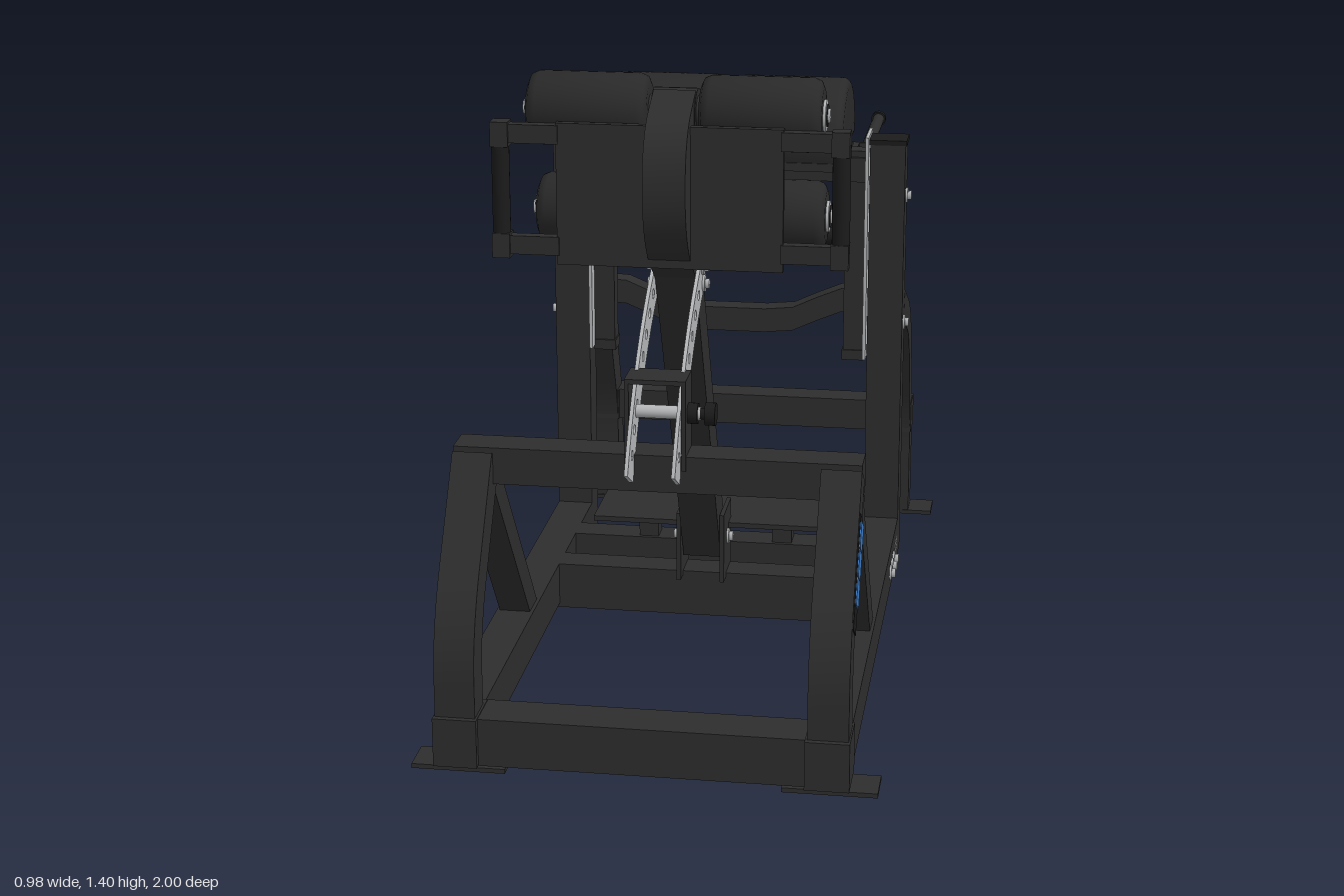
import * as THREE from 'three';
import { toCreasedNormals } from 'three/addons/utils/BufferGeometryUtils.js';

const mat = (name, color) => {
  const m = new THREE.MeshStandardMaterial({ color });
  m.name = name;
  return m;
};

export function createModel() {
  const root = new THREE.Group();
  root.name = 'hyperextensionBench';
  const frame = mat('frameBlack', 0x2d2d2d);
  const pad = mat('padBlack', 0x292929);
  const dark = mat('gripBlack', 0x1b1b1b);
  const steel = mat('plateSteel', 0xb4b6b8);
  const blue = mat('decalBlue', 0x3a78c2);

  const add = (name, geo, material, x = 0, y = 0, z = 0) => {
    const m = new THREE.Mesh(geo, material);
    m.name = name;
    m.position.set(x, y, z);
    root.add(m);
    return m;
  };
  // box given by its limits on each axis
  const box = (name, [x0, x1], [y0, y1], [z0, z1], material = frame) =>
    add(name, new THREE.BoxGeometry(Math.abs(x1 - x0), y1 - y0, Math.abs(z1 - z0)), material,
      (x0 + x1) / 2, (y0 + y1) / 2, (z0 + z1) / 2);
  // cylinder lying along x
  const rod = (name, x0, x1, y, z, r, material = frame, sides = 24) =>
    add(name, new THREE.CylinderGeometry(r, r, Math.abs(x1 - x0), sides).rotateZ(Math.PI / 2),
      material, (x0 + x1) / 2, y, z);
  // outline in (z, y) extruded along x
  const slab = (name, shape, x, width, material = frame, bevel = 0) => {
    let g = new THREE.ExtrudeGeometry(shape, {
      depth: width - 2 * bevel, curveSegments: 32, bevelEnabled: bevel > 0,
      bevelSize: bevel, bevelThickness: bevel, bevelSegments: 5,
    });
    g.translate(0, 0, bevel - width / 2).rotateY(-Math.PI / 2);
    return add(name, toCreasedNormals(g, 0.6), material, x);
  };
  // square tube following a rounded path in (z, y)
  const tube = (name, pts, thick, x, width, material = frame, round = 0.07) => {
    const v = pts.map((p) => new THREE.Vector2(...p));
    const path = new THREE.Path().moveTo(v[0].x, v[0].y);
    for (let i = 1; i < v.length - 1; i++) {
      const toward = (q) => v[i].clone().add(q.clone().sub(v[i]).setLength(Math.min(round, q.distanceTo(v[i]) * 0.48)));
      const a = toward(v[i - 1]), b = toward(v[i + 1]);
      path.lineTo(a.x, a.y).quadraticCurveTo(v[i].x, v[i].y, b.x, b.y);
    }
    path.lineTo(v.at(-1).x, v.at(-1).y);
    const c = path.getPoints(8);
    const left = [], right = [];
    c.forEach((p, i) => {
      const d = c[Math.min(i + 1, c.length - 1)].clone().sub(c[Math.max(i - 1, 0)]).normalize();
      left.push(new THREE.Vector2(p.x - d.y * thick / 2, p.y + d.x * thick / 2));
      right.unshift(new THREE.Vector2(p.x + d.y * thick / 2, p.y - d.x * thick / 2));
    });
    return slab(name, new THREE.Shape([...left, ...right]), x, width, material);
  };
  const bolt = (x, y, z, s) => {
    rod('boltWasher', x, x + s * 0.005, y, z, 0.018, steel);
    rod('boltHead', x, x + s * 0.014, y, z, 0.011, steel, 6);
  };

  // side frames
  for (const s of [-1, 1]) {
    const X = s * 0.388, W = 0.085, side = [s * 0.345, s * 0.43];
    box('baseRail', side, [0.03, 0.13], [-0.39, 0.9]);
    box('frontCorner', [s * 0.341, s * 0.434], [0.025, 0.132], [0.89, 1.0]);
    tube('frontLeg', [[0.95, 0.1], [0.95, 0.31], [0.745, 0.62]], 0.075, X, W, frame, 0.12);
    tube('frontBrace', [[0.72, 0.58], [0.345, 0.1]], 0.06, X, 0.07);
    box('upright', side, [0.03, 1.085], [-0.39, -0.312]);
    box('uprightCap', [s * 0.342, s * 0.433], [1.08, 1.092], [-0.393, -0.309], dark);
    tube('rearLeg', [[-0.38, 0.665], [-0.61, 0.56], [-0.73, 0.27], [-0.73, 0.012]], 0.075, X, W, frame, 0.09);
    box('rearLegSleeve', [s * 0.342, s * 0.433], [0.23, 0.31], [-0.772, -0.688]);
    for (const [z0, z1] of [[0.88, 0.965], [-0.78, -0.695]]) {
      box('footPlate', [s * 0.29, s * 0.49], [0, 0.01], [z0, z1]);
      box('footBlock', side, [0.005, 0.03], [z0 + 0.01, z1 - 0.01]);
    }
    bolt(s * 0.43, 0.95, -0.352, s);
    bolt(s * 0.43, 0.63, -0.352, s);

    // height adjustment
    box('slidePlate', [s * 0.335, s * 0.343], [0.545, 1.1], [-0.41, -0.295], steel);
    box('slidePost', [s * 0.285, s * 0.336], [0.56, 1.06], [-0.377, -0.328]);
    box('slideFoot', [s * 0.282, s * 0.336], [0.535, 0.56], [-0.382, -0.323]);
    for (let i = 0; i < 9; i++)
      rod('slideHole', s * 0.333, s * 0.3352, 0.6 + i * 0.055, -0.394, 0.01, dark, 12);
    rod('slidePin', s * 0.245, s * 0.29, 0.845, -0.335, 0.013, steel);
    rod('slideKnob', s * 0.235, s * 0.258, 0.845, -0.335, 0.022, dark);

    // rear grip bars
    const grip = add('rearHandle', new THREE.CylinderGeometry(0.015, 0.015, 0.63, 20), frame, s * 0.31, 1.0, -0.675);
    grip.rotation.x = Math.PI / 2;
    const knob = add('rearHandleEnd', new THREE.CylinderGeometry(0.019, 0.019, 0.02, 20), dark, s * 0.31, 1.0, -0.99);
    knob.rotation.x = Math.PI / 2;
    box('rearHandleBracket', [s * 0.275, s * 0.345], [0.965, 1.035], [-0.542, -0.532]);
    box('rearHandleArm', [s * 0.285, s * 0.3], [0.985, 1.035], [-0.535, -0.33]);

    // domed hip pads
    const dome = new THREE.Shape();
    dome.moveTo(-0.51, 1.075);
    dome.lineTo(-0.2, 1.075);
    dome.absellipse(-0.355, 1.085, 0.158, 0.125, 0, Math.PI, false);
    slab('hipPad', dome, s * 0.153, 0.272, pad, 0.02);
    box('hipPadBase', [s * 0.025, s * 0.28], [1.04, 1.06], [-0.53, -0.18]);
  }

  // cross members
  box('frontCrossbar', [-0.35, 0.35], [0.025, 0.13], [0.885, 0.985]);
  box('upperFrontCrossbar', [-0.43, 0.43], [0.57, 0.65], [0.69, 0.77]);
  box('pivotCrossbar', [-0.35, 0.35], [0.02, 0.13], [0.035, 0.11]);
  box('stepCrossbar', [-0.35, 0.35], [0.03, 0.13], [-0.17, -0.095]);
  box('rearCrossbar', [-0.35, 0.35], [0.23, 0.31], [-0.77, -0.695]);
  box('slideCrossbar', [-0.29, 0.29], [0.775, 0.825], [-0.377, -0.328]);
  box('padCrossbar', [-0.34, 0.34], [0.985, 1.045], [-0.39, -0.32]);

  // dipped tie bar between the rear legs
  const dip = new THREE.Shape();
  const top = [[-0.36, 0.695], [-0.27, 0.69], [-0.21, 0.665], [-0.15, 0.637], [-0.08, 0.63]];
  const edge = [...top, ...top.map(([x, y]) => [-x, y]).reverse()];
  edge.forEach(([x, y], i) => (i ? dip.lineTo(x, y) : dip.moveTo(x, y)));
  edge.reverse().forEach(([x, y]) => dip.lineTo(x, y - 0.06));
  const dipGeo = new THREE.ExtrudeGeometry(dip, { depth: 0.055, bevelEnabled: false });
  add('dippedTieBar', toCreasedNormals(dipGeo, 0.6), frame, 0, 0, -0.47);

  // step platform
  box('stepPlate', [-0.268, 0.268], [0.228, 0.24], [-0.255, 0.065]);
  for (const s of [-1, 1]) box('stepPost', [s * 0.14, s * 0.187], [0.12, 0.23], [-0.157, -0.105]);

  // swing arm and its pivot
  tube('swingArm', [[0.075, 0.19], [0.465, 0.985]], 0.085, 0, 0.088);
  for (const s of [-1, 1]) {
    box('pivotBracket', [s * 0.046, s * 0.056], [0.12, 0.287], [0.02, 0.145]);
    bolt(s * 0.056, 0.215, 0.085, s);
  }

  // curved selector plates centred on the pivot, with rows of holes
  const a0 = 0.51, a1 = 1.15, pz = 0.08, py = 0.2;
  const arc = new THREE.Shape();
  arc.absarc(pz, py, 0.88, a0, a1, false);
  arc.absarc(pz, py, 0.805, a1, a0, true);
  for (let i = 0; i < 8; i++) {
    const a = a0 + 0.06 + i * 0.066;
    const hole = new THREE.Path();
    hole.absarc(pz + 0.845 * Math.cos(a), py + 0.845 * Math.sin(a), 0.011, 0, Math.PI * 2, true);
    arc.holes.push(hole);
  }
  for (const s of [-1, 1]) {
    slab('selectorPlate', arc, s * 0.049, 0.008, steel);
    bolt(s * 0.053, 0.975, 0.46, s);
    bolt(s * 0.053, 0.935, 0.45, s);
    box('selectorBracket', [s * 0.055, s * 0.064], [0.62, 0.815], [0.693, 0.775]);
  }
  box('selectorBracketTop', [-0.06, 0.06], [0.805, 0.815], [0.693, 0.775]);
  rod('selectorPin', -0.06, 0.09, 0.735, 0.735, 0.014, steel);
  rod('selectorCollar', 0.064, 0.085, 0.735, 0.735, 0.022, dark);
  rod('selectorKnob', 0.1, 0.122, 0.735, 0.735, 0.024, dark);
  rod('selectorShaft', 0.085, 0.105, 0.735, 0.735, 0.012, dark);

  // curved roller post with foot plate
  tube('rollerPost', [[0.42, 0.95], [0.61, 1.09], [0.61, 1.27], [0.48, 1.33]], 0.08, 0, 0.09, frame, 0.09);
  tube('lowerRollerArm', [[0.47, 0.98], [0.39, 1.08]], 0.07, 0, 0.08);
  box('footRestPlate', [-0.24, 0.24], [1.0, 1.305], [0.56, 0.578]);

  // foam rollers
  const roller = (y, z, r) => {
    rod('rollerAxle', -0.31, 0.31, y, z, 0.034);
    rod('rollerHub', -0.047, 0.047, y, z, 0.05);
    const h = 0.129, c = 0.022;
    const profile = [[0, -h], [r - c, -h], [r - c * 0.3, -h + c * 0.3], [r, -h + c],
      [r, h - c], [r - c * 0.3, h - c * 0.3], [r - c, h], [0, h]].map((p) => new THREE.Vector2(...p));
    for (const s of [-1, 1]) {
      const g = toCreasedNormals(new THREE.LatheGeometry(profile, 36).rotateZ(Math.PI / 2), 0.9);
      add('foamRoller', g, pad, s * 0.184, y, z);
      rod('rollerEndCap', s * 0.312, s * 0.319, y, z, 0.034, steel);
      rod('rollerEndRing', s * 0.318, s * 0.3215, y, z, 0.024, frame);
      rod('rollerEndBolt', s * 0.318, s * 0.327, y, z, 0.016, steel, 6);
    }
  };
  roller(1.317, 0.478, 0.079);
  roller(1.078, 0.39, 0.077);

  // side handles on the foot plate
  for (const s of [-1, 1]) {
    for (const y of [1.04, 1.28]) {
      box('handleConnector', [s * 0.235, s * 0.345], [y - 0.02, y + 0.02], [0.556, 0.582]);
      box('handleEnd', [s * 0.34, s * 0.378], [y - 0.028, y + 0.025], [0.55, 0.588]);
    }
    add('handleGrip', new THREE.CylinderGeometry(0.019, 0.019, 0.23, 20), dark, s * 0.36, 1.16, 0.569);
  }

  // blue leg decal and rail markers on the left side
  const along = [-0.556, 0.831];
  const legPoint = (t) => [0.845 + along[0] * t, 0.462 + along[1] * t];
  tube('decalBacking', [legPoint(-0.14), legPoint(0.1)], 0.068, 0.4315, 0.003, dark);
  for (let i = -1; i <= 1; i++)
    tube('blueDecal', [legPoint(i * 0.059 - 0.028), legPoint(i * 0.059 + 0.028)], 0.058, 0.4335, 0.004, blue);
  for (const z of [-0.08, -0.128, -0.175]) bolt(0.43, 0.077, z, 1);
  for (const y of [0.07, 0.088]) box('railStripe', [0.429, 0.432], [y - 0.005, y + 0.005], [-0.288, -0.225], steel);

  return root;
}
